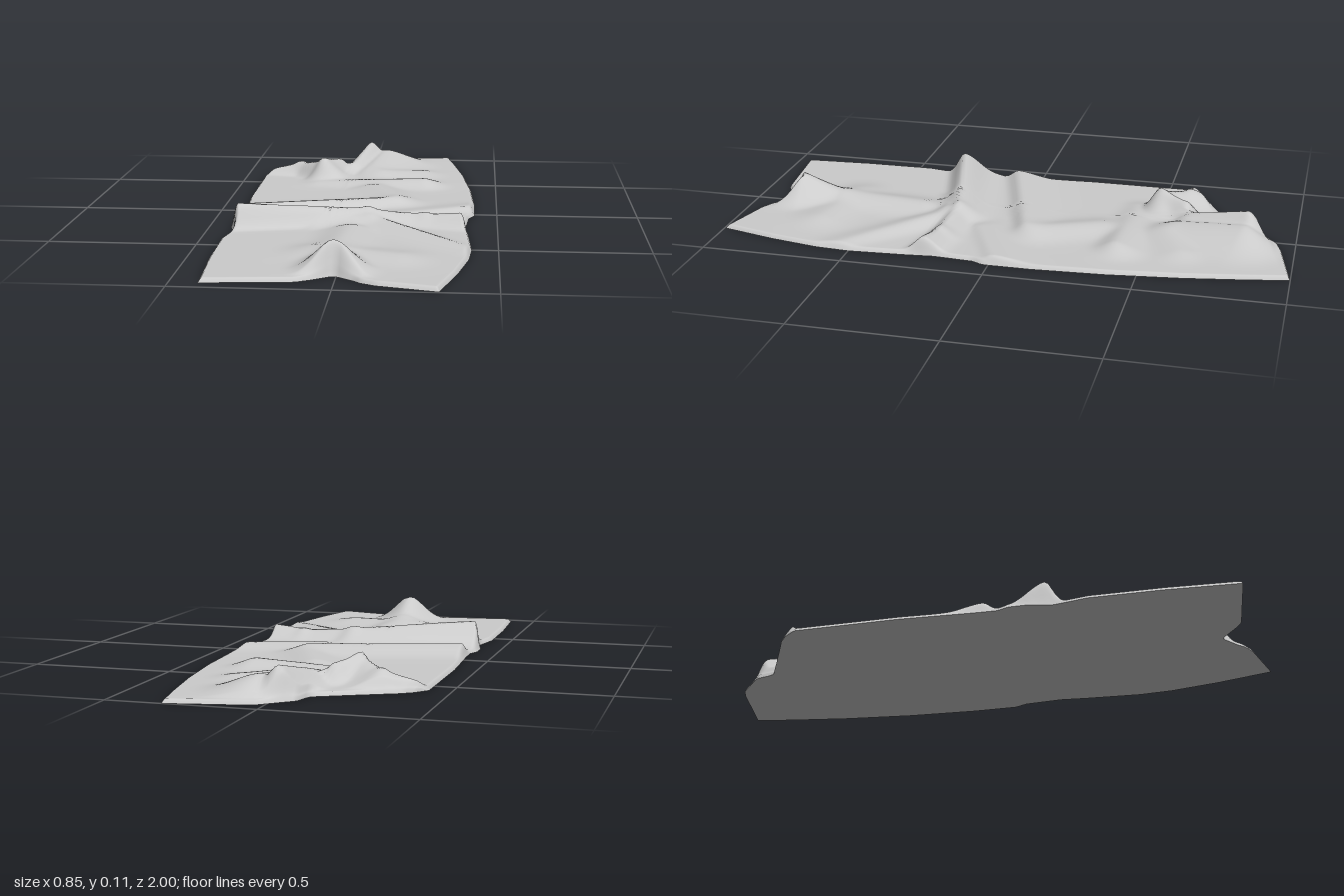
import * as THREE from 'three';

// piecewise-linear lookup through [key, value] pairs
function lookup(pts, k) {
  if (k <= pts[0][0]) return pts[0][1];
  for (let i = 1; i < pts.length; i++) {
    const [k0, v0] = pts[i - 1], [k1, v1] = pts[i];
    if (k <= k1) return v0 + (v1 - v0) * (k - k0) / (k1 - k0);
  }
  return pts[pts.length - 1][1];
}

// outline of the cloth: ends as z over x, long sides as x over z
const backEnd = [[-0.41, -0.58], [-0.4, -0.62], [-0.38, -0.645], [-0.12, -0.78], [-0.1, -0.85], [0.01, -0.94], [0.06, -0.955], [0.31, -1]];
const frontEnd = [[-0.41, 0.955], [-0.13, 0.925], [-0.09, 0.9], [-0.03, 0.85], [0.04, 0.9], [0.06, 0.92], [0.11, 0.945], [0.31, 0.995]];
const leftSide = [[-0.64, -0.39], [-0.57, -0.425], [-0.2, -0.425], [0.06, -0.41], [0.14, -0.408], [0.18, -0.425], [0.25, -0.425], [0.33, -0.405], [0.45, -0.428], [0.7, -0.425], [0.95, -0.41]];
const rightSide = [[-1, 0.31], [-0.85, 0.34], [-0.65, 0.375], [-0.4, 0.405], [-0.15, 0.42], [0.02, 0.42], [0.06, 0.4], [0.2, 0.39], [0.3, 0.4], [0.5, 0.413], [0.62, 0.405], [0.8, 0.37], [0.99, 0.32]];

// creases: x1, z1, height1, x2, z2, height2, width behind, width in front
const folds = [
  [-0.42, 0.31, 0.1, 0.05, 0.205, 0.065, 0.09, 0.04],        // main fold
  [-0.12, 0.26, 0.04, 0.06, 0.24, 0.052, 0.06, 0.06],        // its slack middle
  [-0.42, 0.095, 0.045, 0.13, -0.06, 0.045, 0.12, 0.04],     // second fold
  [0.05, 0.205, 0.062, 0.25, 0.215, 0.05, 0.06, 0.045],      // right branch
  [0.25, 0.215, 0.05, 0.42, 0.25, 0.069, 0.06, 0.045],
  [0.08, 0.24, 0.045, 0.4, 0.55, 0.022, 0.06, 0.09],         // fading diagonal
  [0.15, 0.1, 0.025, 0.42, -0.02, 0.03, 0.12, 0.04],         // right edge fold
  [-0.02, 0.68, 0.05, -0.01, 0.82, 0.111, 0.09, 0.09],       // front pinch
  [-0.41, -0.6, 0.03, -0.28, -0.59, 0.06, 0.11, 0.035],      // curled corner
  [-0.28, -0.59, 0.06, -0.18, -0.495, 0.089, 0.1, 0.03],
  [-0.18, -0.495, 0.089, -0.12, -0.6, 0.08, 0.05, 0.05],
  [-0.06, -0.62, 0.06, -0.01, -0.83, 0.107, 0.06, 0.06],     // back pinch
  [0.0, -0.6, 0.05, 0.05, -0.82, 0.075, 0.06, 0.15],         // slope beside it
  [-0.18, -0.42, 0.025, 0.22, -0.4, 0.045, 0.1, 0.07],       // soft wrinkles
  [0.05, -0.55, 0.04, 0.2, -0.62, 0.03, 0.1, 0.1],
  [0.04, -0.32, 0.036, 0.14, -0.1, 0.04, 0.1, 0.1],
  [-0.08, 0.62, 0.035, 0.18, 0.68, 0.03, 0.12, 0.12],
  [0.0, 0.35, 0.04, -0.02, 0.65, 0.045, 0.1, 0.1],
];

function foldHeight([x1, z1, h1, x2, z2, h2, wb, wf], x, z) {
  const dx = x2 - x1, dz = z2 - z1, l2 = dx * dx + dz * dz;
  const t = THREE.MathUtils.clamp(((x - x1) * dx + (z - z1) * dz) / l2, 0, 1);
  const d = Math.hypot(x - x1 - t * dx, z - z1 - t * dz);
  const side = (dx * (z - z1) - dz * (x - x1)) / Math.sqrt(l2);
  const w = THREE.MathUtils.lerp(wb, wf, 0.5 + 0.5 * side / (d + 1e-5));
  return (h1 + (h2 - h1) * t) * Math.exp(-Math.pow(d / w, 1.7));
}

// overlapping creases blend toward the highest one
function creaseHeight(x, z) {
  let sum = 0;
  for (const f of folds) sum += Math.pow(foldHeight(f, x, z), 5);
  return Math.pow(sum, 0.2);
}

// one face of the cloth; heightAt(crease, distance to side, distance to end)
function clothFace(heightAt, facingUp) {
  const nu = 90, nv = 200, pos = [], index = [];
  // rows crowd toward the rim so the rounded edge stays crisp
  const ease = t => t - 0.6 * Math.sin(2 * Math.PI * t) / (2 * Math.PI);
  for (let j = 0; j <= nv; j++) {
    for (let i = 0; i <= nu; i++) {
      const u = ease(i / nu), v = ease(j / nv);
      const along = -0.41 + 0.72 * u;
      const z0 = lookup(backEnd, along), z1 = lookup(frontEnd, along);
      const z = z0 + (z1 - z0) * v;
      const xl = lookup(leftSide, z), xr = lookup(rightSide, z);
      const x = xl + (xr - xl) * u;
      pos.push(x, heightAt(creaseHeight(x, z), Math.min(x - xl, xr - x), Math.min(z - z0, z1 - z)), z);
      if (i < nu && j < nv) {
        const a = j * (nu + 1) + i, b = a + nu + 1;
        if (facingUp) index.push(a, b, a + 1, a + 1, b, b + 1);
        else index.push(a, a + 1, b, a + 1, b + 1, b);
      }
    }
  }
  const geo = new THREE.BufferGeometry();
  geo.setAttribute('position', new THREE.Float32BufferAttribute(pos, 3));
  geo.setIndex(index);
  geo.computeVertexNormals();
  return geo;
}

export function createModel() {
  const { smoothstep, clamp } = THREE.MathUtils;
  const material = new THREE.MeshStandardMaterial({ color: 0xcccccc });
  const group = new THREE.Group();
  group.name = 'cloth';

  // creased top, rounded down to the ground along the rim
  const top = new THREE.Mesh(clothFace((crease, side, end) => {
    const rim = Math.sin(Math.PI / 2 * clamp(Math.min(side, end) / 0.012, 0, 1));
    const rise = smoothstep(side, -0.008, 0.022) * smoothstep(end, -0.01, 0.045);
    return rim * Math.max(0, Math.cbrt(0.014 ** 3 + (crease * rise) ** 3));
  }, true), material);
  top.name = 'creasedTop';

  // nearly flat underside
  const underside = new THREE.Mesh(clothFace((crease, side, end) =>
    0.06 * crease * smoothstep(Math.min(side, end), 0, 0.05), false), material);
  underside.name = 'underside';

  group.add(top, underside);
  return group;
}
